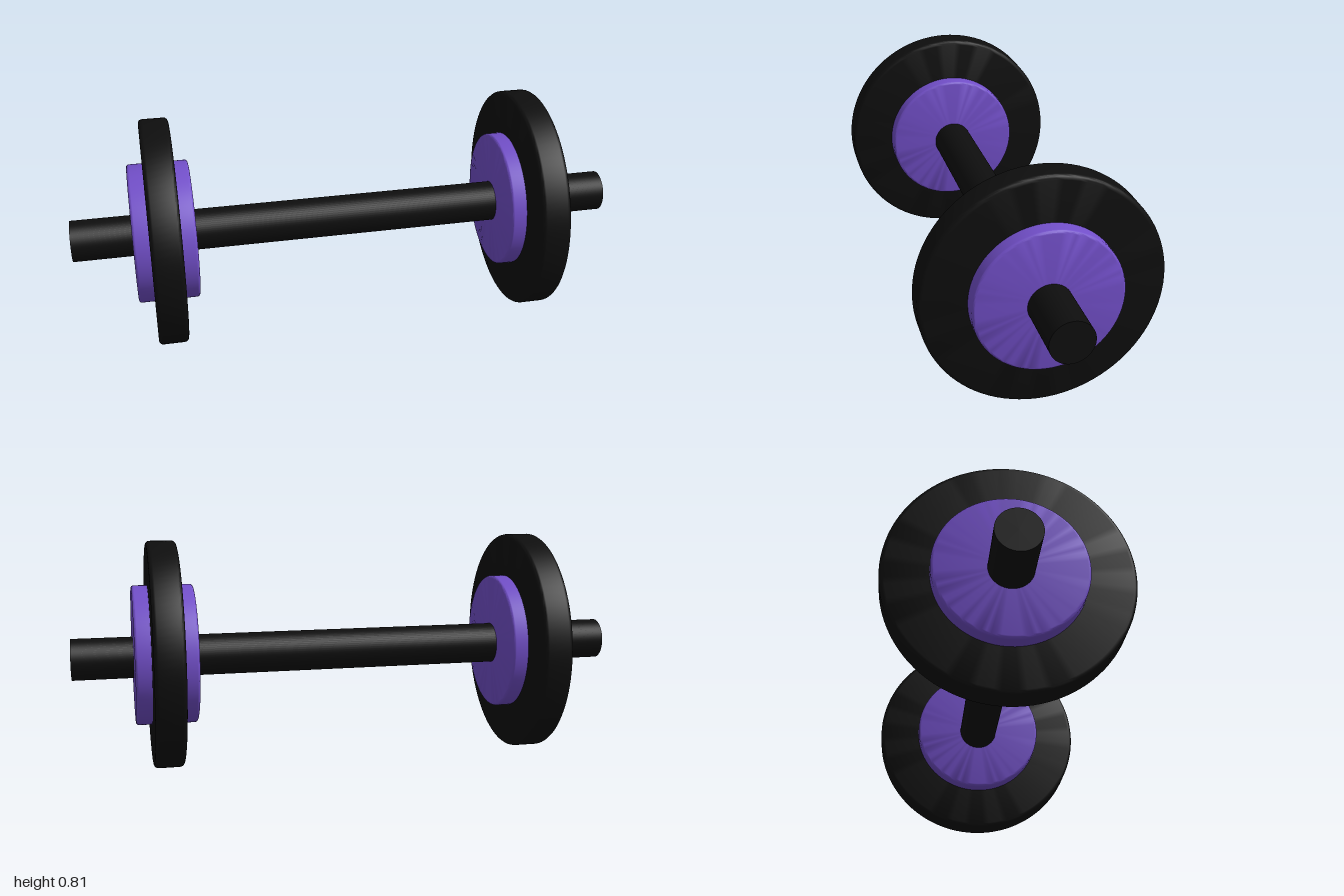
import * as THREE from 'three';
import { toCreasedNormals } from 'three/addons/utils/BufferGeometryUtils.js';

const black = new THREE.MeshStandardMaterial({ color: 0x0e0e0e });
const purple = new THREE.MeshStandardMaterial({ color: 0x724fc9 });

// Solid disc along x with rounded rims
function disc(name, radius, halfWidth, round, material) {
  const points = [new THREE.Vector2(0, -halfWidth)];
  for (const side of [-1, 1]) {
    for (let i = 0; i <= 4; i++) {
      const a = (side < 0 ? i - 4 : i) * Math.PI / 8;
      points.push(new THREE.Vector2(
        radius - round + round * Math.cos(a),
        side * (halfWidth - round) + round * Math.sin(a)
      ));
    }
  }
  points.push(new THREE.Vector2(0, halfWidth));
  const geometry = toCreasedNormals(new THREE.LatheGeometry(points, 96), 0.6);
  geometry.rotateZ(-Math.PI / 2);
  const mesh = new THREE.Mesh(geometry, material);
  mesh.name = name;
  return mesh;
}

export function createModel() {
  const model = new THREE.Group();
  model.name = 'dumbbell';

  // Handle bar running through both weights
  const barGeometry = new THREE.CylinderGeometry(0.074, 0.074, 2, 64);
  barGeometry.rotateZ(Math.PI / 2);
  const bar = new THREE.Mesh(barGeometry, black);
  bar.name = 'bar';
  bar.position.y = 0.4;
  model.add(bar);

  // Weights: a wide black plate around a thicker purple hub
  for (const side of [-1, 1]) {
    const weight = new THREE.Group();
    weight.name = side > 0 ? 'leftWeight' : 'rightWeight';
    weight.add(
      disc('plate', 0.407, 0.053, 0.015, black),
      disc('hub', 0.25, 0.109, 0.01, purple)
    );
    weight.position.set(side * 0.675, 0.407, 0);
    model.add(weight);
  }
  return model;
}
